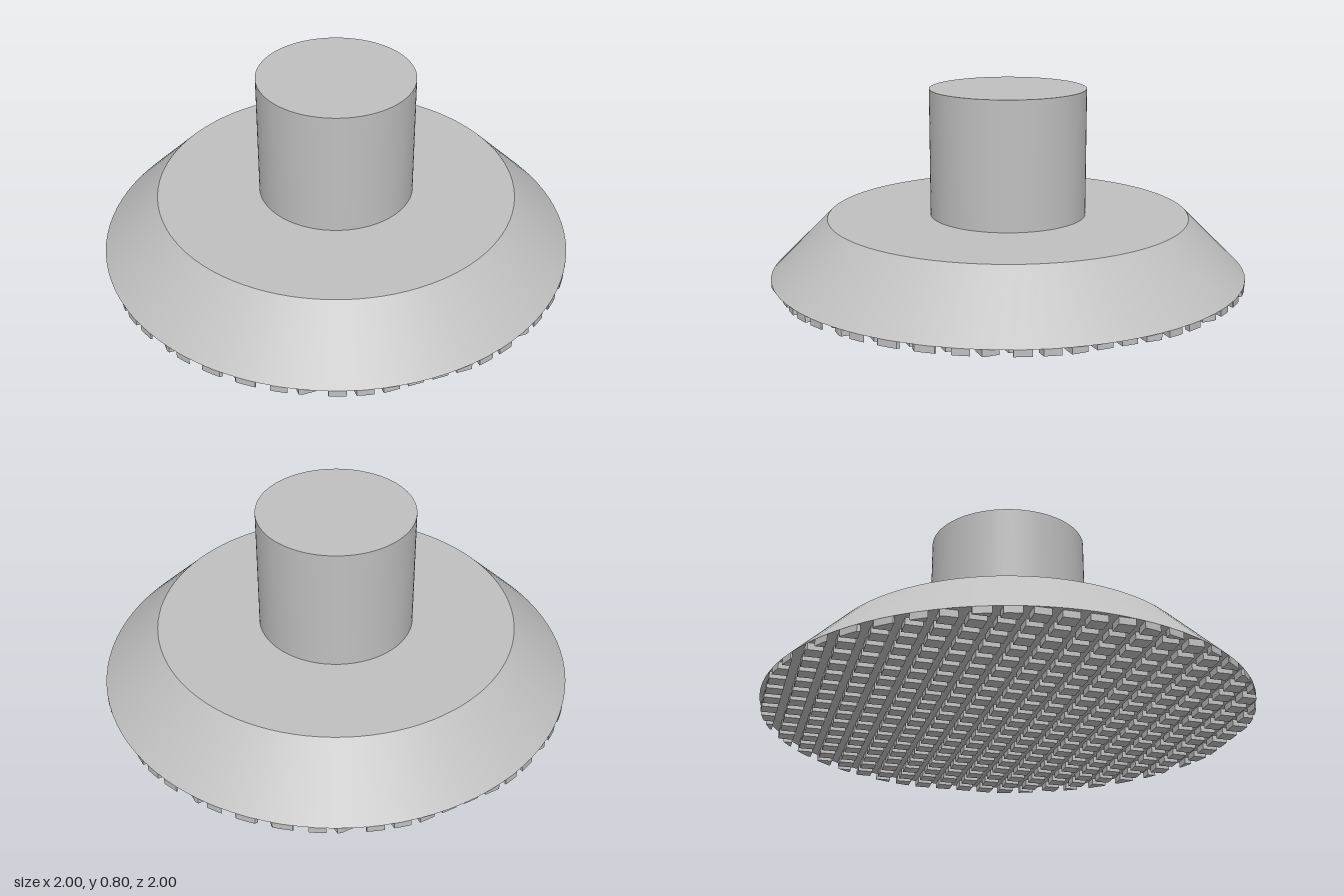
import * as THREE from 'three';
import { mergeGeometries } from 'three/addons/utils/BufferGeometryUtils.js';

const SEGMENTS = 96;
const TREAD = 0.027; // tread height
const PITCH = 0.1;
const PAD = 0.064;

// Trim a convex polygon to the round outline of the foot
function clipToRim(points) {
  const apothem = Math.cos(Math.PI / SEGMENTS);
  for (let i = 0; i < SEGMENTS; i++) {
    const a = ((i + 0.5) / SEGMENTS) * Math.PI * 2;
    const n = new THREE.Vector2(Math.cos(a), Math.sin(a));
    const out = [];
    points.forEach((p, k) => {
      const q = points[(k + 1) % points.length];
      const dp = p.dot(n) - apothem;
      const dq = q.dot(n) - apothem;
      if (dp <= 0) out.push(p);
      if (dp * dq < 0) out.push(p.clone().lerp(q, dp / (dp - dq)));
    });
    points = out;
  }
  return points;
}

// Grid of small square grip pads, cut off at the rim
function treadGeometry() {
  const pads = [];
  const h = PAD / 2;
  for (let i = -10; i < 10; i++) {
    for (let j = -10; j < 10; j++) {
      const x = (i + 0.5) * PITCH;
      const z = (j + 0.5) * PITCH;
      const square = [[-h, -h], [h, -h], [h, h], [-h, h]]
        .map(([dx, dz]) => new THREE.Vector2(x + dx, z + dz));
      const outline = clipToRim(square);
      if (outline.length < 3) continue;
      const pad = new THREE.ExtrudeGeometry(new THREE.Shape(outline), { depth: TREAD, bevelEnabled: false });
      pads.push(pad.rotateX(Math.PI / 2).translate(0, TREAD, 0));
    }
  }
  return mergeGeometries(pads);
}

export function createModel() {
  const grey = new THREE.MeshStandardMaterial({ color: 0xbfbfbf });
  grey.name = 'light grey';
  const group = new THREE.Group();
  group.name = 'gripFoot';

  const add = (name, geometry, y = 0) => {
    const mesh = new THREE.Mesh(geometry, grey);
    mesh.name = name;
    mesh.position.y = y;
    group.add(mesh);
  };

  // Round stem on a flared base
  add('stem', new THREE.CylinderGeometry(0.328, 0.328, 0.535, SEGMENTS), 0.5325);
  add('flaredBase', new THREE.CylinderGeometry(0.76, 1, 0.238, SEGMENTS), TREAD + 0.119);
  add('treadPads', treadGeometry());
  return group;
}
